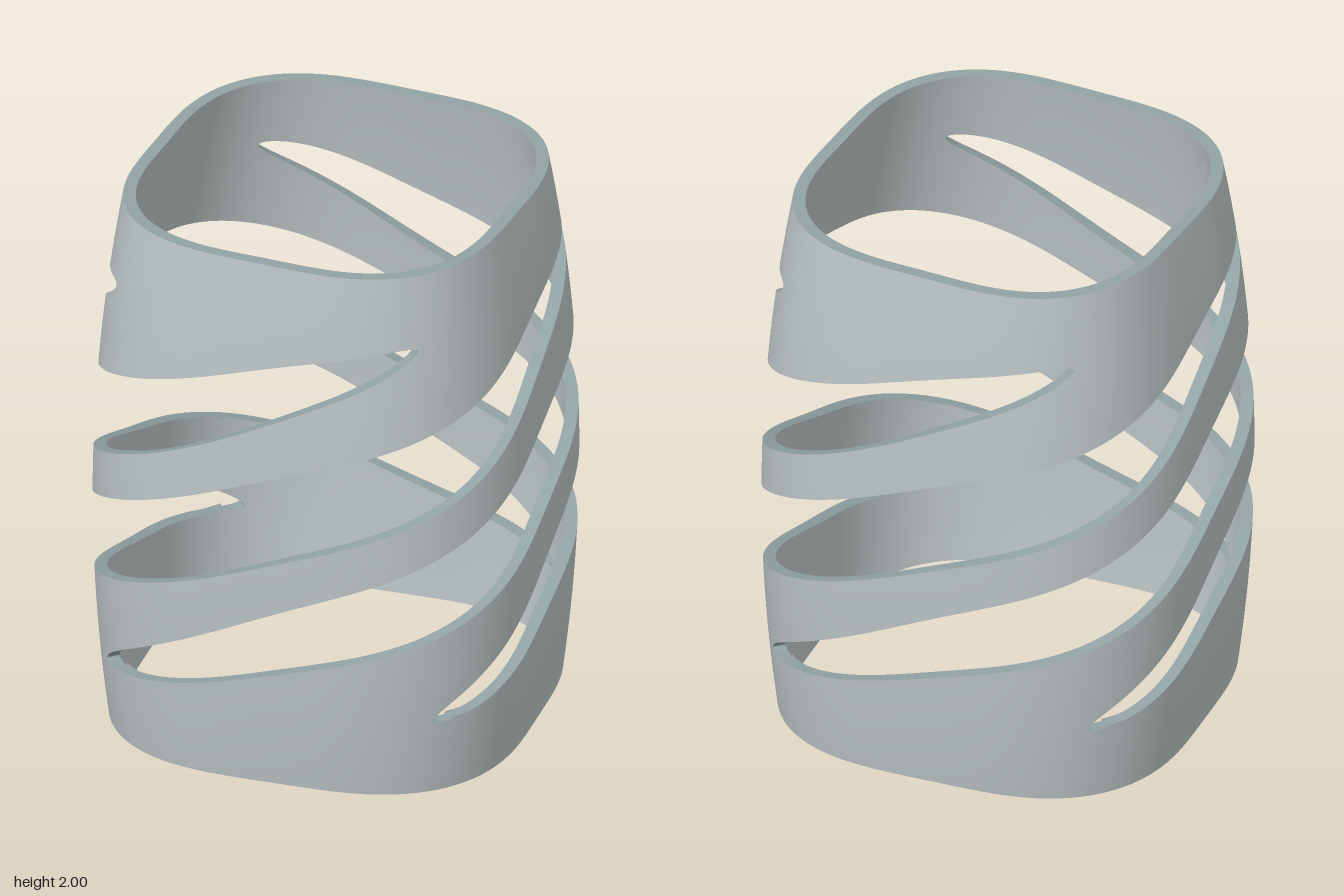
import * as THREE from 'three';
import { mergeGeometries } from 'three/addons/utils/BufferGeometryUtils.js';

const RAD = Math.PI / 180;
const HEIGHT = 2, WALL = 0.045, CORNER = 0.06;
const SLOT_START = -4.5, SLOT_END = 263; // degrees covered by one helical slot

// Point on the twisted, bulging rounded-square wall; angle runs from +z towards +x
function wallPoint(deg, y, inset) {
  const a = deg * RAD;
  const corner = 0.877 - 0.081 * (y - 0.8) ** 2;
  const twist = -2.5 * RAD * y;
  const r = corner * (1 + CORNER * Math.cos(4 * (a - twist))) / (1 + CORNER) - inset;
  return new THREE.Vector3(r * Math.sin(a), y, r * Math.cos(a));
}

function wallNormal(deg, y, inset) {
  const e = 0.01;
  const du = wallPoint(deg + e, y, inset).sub(wallPoint(deg - e, y, inset));
  const dv = wallPoint(deg, y + e, inset).sub(wallPoint(deg, y - e, inset));
  return du.cross(dv).normalize();
}

// Lower and upper edge of a slot at s degrees along it
function slot(s) {
  const c = THREE.MathUtils.clamp(s, SLOT_START, SLOT_END);
  const t = (c - SLOT_START) / (SLOT_END - SLOT_START);
  const open = t > 0 && t < 1;
  const half = open ? 0.167 * Math.sin(Math.PI * t) ** 0.55 : 0;
  const mid = 0.317 + (0.483 * c) / 90;
  return { low: mid - half, high: mid + half, open };
}

// Angles across one quarter, denser near the rounded slot ends
function quarterAngles() {
  const set = new Set();
  for (let d = 0; d <= 90; d += 1.5) set.add(d);
  for (let i = 0; i <= 8; i++) {
    const step = 5 * (i / 8) ** 2;
    set.add(Math.min(90, 90 + SLOT_START + step));
    set.add(SLOT_END - 180 - step);
  }
  return [...set].sort((a, b) => a - b);
}

// Grid surface over the angles; normals come from normalAt or from the faces
function surface(angles, rows, pointAt, normalAt, flip = false, keep = () => true) {
  const pos = [], nor = [], idx = [];
  angles.forEach((d) => {
    for (let j = 0; j <= rows; j++) {
      pos.push(...pointAt(d, j / rows).toArray());
      if (normalAt) nor.push(...normalAt(d, j / rows).toArray());
    }
  });
  for (let i = 0; i < angles.length - 1; i++) {
    if (!keep(angles[i], angles[i + 1])) continue;
    for (let j = 0; j < rows; j++) {
      const a = i * (rows + 1) + j, b = a + rows + 1;
      if (flip) idx.push(a, b + 1, b, a, a + 1, b + 1);
      else idx.push(a, b, b + 1, a, b + 1, a + 1);
    }
  }
  const g = new THREE.BufferGeometry();
  g.setAttribute('position', new THREE.Float32BufferAttribute(pos, 3));
  g.setIndex(idx);
  if (normalAt) g.setAttribute('normal', new THREE.Float32BufferAttribute(nor, 3));
  else g.computeVertexNormals();
  return g;
}

export function createModel() {
  const wallMat = new THREE.MeshStandardMaterial({ color: 0xb9c1c2 });
  wallMat.name = 'paleGreyWall';
  const edgeMat = new THREE.MeshStandardMaterial({ color: 0x91a2a4 });
  edgeMat.name = 'tealGreyEdge';

  const angles = quarterAngles();
  const names = ['baseRing', 'lowerBand', 'middleBand', 'upperBand', 'topRing'];
  const offsets = [-90, 0, 90, 180]; // the slots that cross one quarter

  const parts = names.map((name, k) => {
    const below = k > 0 ? (d) => slot(d + offsets[k - 1]) : null;
    const above = k < 4 ? (d) => slot(d + offsets[k]) : null;
    const bottom = (d) => (below ? below(d).high : 0);
    const top = (d) => (above ? above(d).low : HEIGHT);
    const yAt = (d, v) => bottom(d) + (top(d) - bottom(d)) * v;

    // Outer and inner faces of the band
    const faces = [0, WALL].map((inset) => surface(angles, 6,
      (d, v) => wallPoint(d, yAt(d, v), inset),
      (d, v) => wallNormal(d, yAt(d, v), inset).multiplyScalar(inset ? -1 : 1),
      inset > 0));

    // Cut edges, only where a slot is open or at the rims
    const opened = (f) => (a, b) => !f || f(a).open || f(b).open;
    const edges = [
      surface(angles, 1, (d, v) => wallPoint(d, top(d), WALL * v), null, false, opened(above)),
      surface(angles, 1, (d, v) => wallPoint(d, bottom(d), WALL * v), null, true, opened(below)),
    ];
    return { name, wall: mergeGeometries(faces), edge: mergeGeometries(edges) };
  });

  // Four equal quarters around the axis
  const model = new THREE.Group();
  model.name = 'helicalLatticeSleeve';
  for (let q = 0; q < 4; q++) {
    const quarter = new THREE.Group();
    quarter.name = 'quarter' + (q + 1);
    quarter.rotation.y = q * Math.PI / 2;
    for (const part of parts) {
      const wall = new THREE.Mesh(part.wall, wallMat);
      wall.name = part.name;
      const edge = new THREE.Mesh(part.edge, edgeMat);
      edge.name = part.name + 'Edge';
      quarter.add(wall, edge);
    }
    model.add(quarter);
  }
  return model;
}
